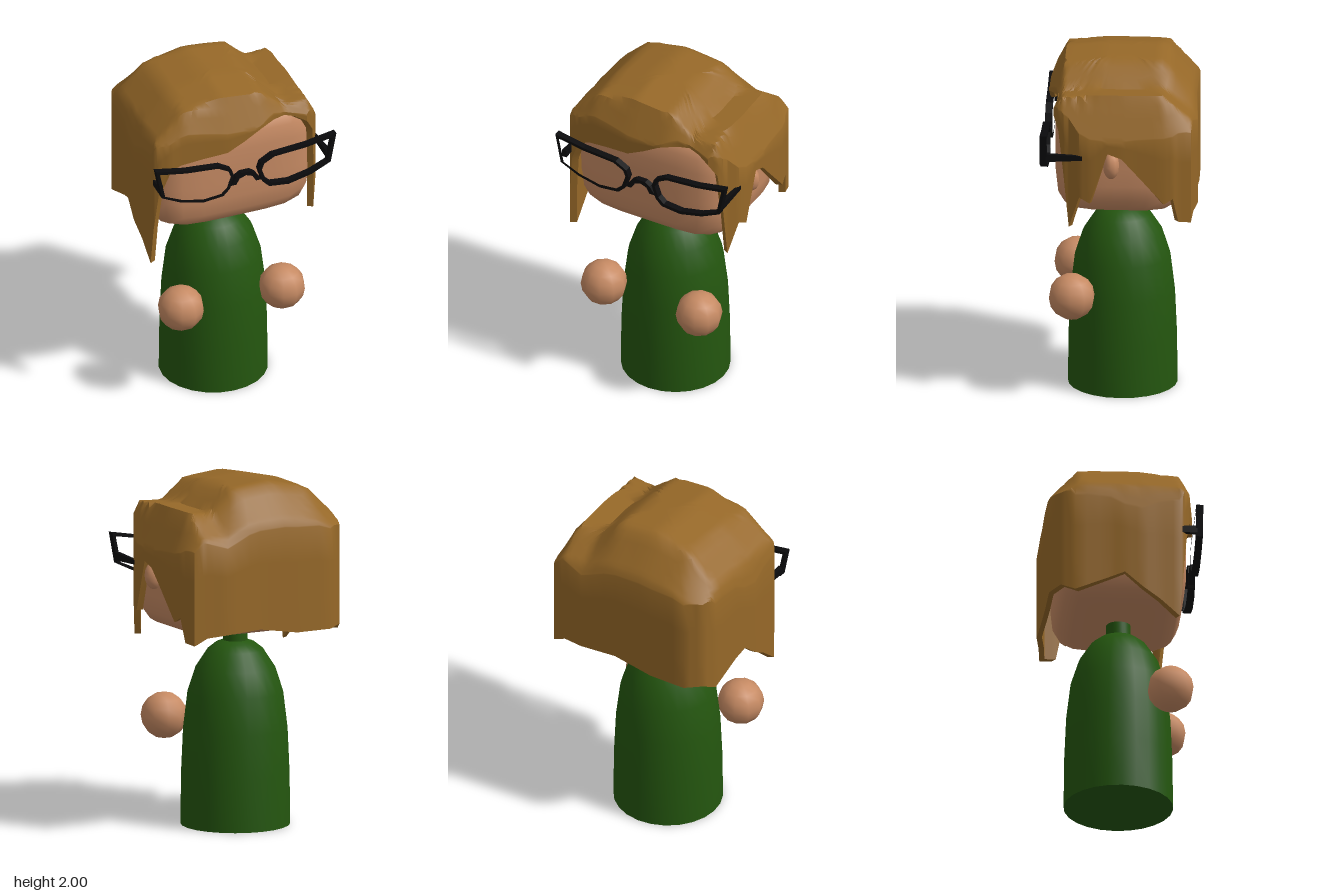
import * as THREE from 'three';
import { mergeVertices, toCreasedNormals } from 'three/addons/utils/BufferGeometryUtils.js';

const skin = new THREE.MeshStandardMaterial({ color: 0xc68a63 });
const green = new THREE.MeshStandardMaterial({ color: 0x24560f, side: THREE.DoubleSide });
const black = new THREE.MeshStandardMaterial({ color: 0x0b0b0d });
const brown = new THREE.MeshStandardMaterial({ color: 0x966828, side: THREE.DoubleSide });

function add(parent, name, geometry, material, x = 0, y = 0, z = 0) {
  const mesh = new THREE.Mesh(geometry, material);
  mesh.name = name;
  mesh.position.set(x, y, z);
  parent.add(mesh);
  return mesh;
}

// Piecewise linear curve through [position, value] pairs
function curve(points, p) {
  if (p <= points[0][0]) return points[0][1];
  for (let i = 1; i < points.length; i++) {
    const [a, va] = points[i - 1], [b, vb] = points[i];
    if (p <= b) return va + (vb - va) * (p - a) / (b - a);
  }
  return points[points.length - 1][1];
}

// Cube rounded by a p-norm, then scaled
function headGeometry(hx, hy, hz, p) {
  const box = new THREE.BoxGeometry(2, 2, 2, 7, 7, 7);
  box.deleteAttribute('uv');
  box.deleteAttribute('normal');
  const geo = mergeVertices(box);
  const pos = geo.attributes.position;
  for (let i = 0; i < pos.count; i++) {
    const v = [pos.getX(i), pos.getY(i), pos.getZ(i)];
    const n = v.reduce((s, c) => s + Math.abs(c) ** p, 0) ** (1 / p);
    pos.setXYZ(i, v[0] / n * hx, v[1] / n * hy, v[2] / n * hz);
  }
  geo.computeVertexNormals();
  return geo;
}

// Hair outline seen from above, with the height of the lower edge: [x, z, edgeY]
const hairOutline = [
  // fringe
  [0.1, 0.41, 1.77], [0, 0.41, 1.71], [-0.1, 0.41, 1.66], [-0.25, 0.39, 1.64], [-0.37, 0.375, 1.62], [-0.44, 0.37, 1.59],
  // long right lock and right side
  [-0.495, 0.35, 1.45], [-0.52, 0.33, 1.2], [-0.53, 0.31, 0.97], [-0.535, 0.2, 1.07], [-0.545, 0.1, 1.14],
  [-0.54, 0, 1.23], [-0.53, -0.08, 1.2], [-0.525, -0.28, 1.12], [-0.49, -0.36, 1.16],
  // back
  [-0.4, -0.42, 1.15], [-0.18, -0.425, 1.15], [0.06, -0.425, 1.19], [0.28, -0.44, 1.18], [0.4, -0.42, 1.17], [0.48, -0.41, 1.13],
  // left side, notched over the ear
  [0.5, -0.34, 1.14], [0.515, -0.31, 1.28], [0.525, -0.26, 1.25], [0.53, -0.1, 1.43], [0.535, -0.02, 1.52],
  [0.535, 0.06, 1.55], [0.53, 0.16, 1.25], [0.515, 0.22, 1.28],
  // left lock and parting
  [0.475, 0.28, 1.09], [0.465, 0.31, 1.39], [0.445, 0.34, 1.65], [0.4, 0.37, 1.73], [0.33, 0.355, 1.77], [0.27, 0.35, 1.79], [0.2, 0.365, 1.785],
];
// Crown height across x (with the parting groove) and its fall-off along z
const crownX = [[-0.55, 1.6], [-0.51, 1.78], [-0.34, 1.945], [-0.1, 2], [0.14, 1.975], [0.28, 1.85], [0.42, 1.86], [0.535, 1.62]];
const crownZ = [[-0.44, 0.3], [-0.41, 0.5], [-0.25, 1], [0.1, 1], [0.32, 0.94], [0.41, 0.45]];

function hairGeometry() {
  const SUB = 3, RINGS = 14;
  const columns = [];
  hairOutline.forEach((a, i) => {
    const b = hairOutline[(i + 1) % hairOutline.length];
    for (let k = 0; k < SUB; k++) columns.push(a.map((v, c) => v + (b[c] - v) * k / SUB));
  });
  const crown = (x, z) => 1.6 + (curve(crownX, x) - 1.6) * curve(crownZ, z);
  const rows = [];
  // dome
  for (let k = 0; k <= RINGS; k++) {
    const s = Math.sin(k / RINGS * Math.PI / 2);
    rows.push(([x, z, edge]) => {
      const y = crown(x * s, z * s);
      return [x * s, k === RINGS ? Math.max(y, edge + 0.02) : y, z * s];
    });
  }
  // hanging sides, lower rim and inner face
  const rim = ([x, z, edge]) => Math.max(crown(x, z), edge + 0.02);
  for (const [scale, t] of [[1, 0.33], [1, 0.67], [1, 1], [0.935, 1], [0.935, 0.1]]) {
    rows.push(c => [c[0] * scale, rim(c) + (c[2] - rim(c)) * t, c[1] * scale]);
  }
  const n = columns.length, positions = [], index = [];
  rows.forEach((row, r) => columns.forEach((c, j) => {
    positions.push(...row(c));
    if (r === rows.length - 1) return;
    const a = r * n + j, b = r * n + (j + 1) % n;
    if (r > 0) index.push(a, b, a + n);
    index.push(b, b + n, a + n);
  }));
  const geo = new THREE.BufferGeometry();
  geo.setAttribute('position', new THREE.Float32BufferAttribute(positions, 3));
  geo.setIndex(index);
  return toCreasedNormals(geo, 0.7);
}

// One rim of the glasses, side = +1 or -1
function rimGeometry(side) {
  const outline = [[0.55, 1.655], [0.37, 1.622], [0.16, 1.605], [0.09, 1.565], [0.075, 1.52], [0.1, 1.44],
    [0.14, 1.4], [0.26, 1.387], [0.4, 1.42], [0.515, 1.475]];
  const inner = outline.map(([x, y]) => [0.3 + (x - 0.3) * 0.91, 1.513 + (y - 1.513) * 0.84]);
  const toPoints = list => list.map(([x, y]) => new THREE.Vector2(x * side, y));
  const shape = new THREE.Shape(toPoints(outline));
  shape.holes.push(new THREE.Path(toPoints(inner)));
  return new THREE.ExtrudeGeometry(shape, { depth: 0.04, bevelEnabled: false });
}

export function createModel() {
  const model = new THREE.Group();

  // Bell-shaped body with neck
  const profile = [[0, 0], [0.31, 0], [0.306, 0.3], [0.295, 0.55], [0.27, 0.76], [0.225, 0.9], [0.16, 1.0],
    [0.11, 1.04], [0.07, 1.055], [0.07, 1.2]].map(([r, y]) => new THREE.Vector2(r, y));
  add(model, 'body', toCreasedNormals(new THREE.LatheGeometry(profile, 24), 0.6), green, -0.02);

  // Floating hands
  for (const [name, x] of [['leftHand', 0.287], ['rightHand', -0.33]]) {
    add(model, name, new THREE.SphereGeometry(0.133, 10, 8), skin, x, 0.605, 0.273);
  }

  // Head and ears
  add(model, 'head', headGeometry(0.49, 0.355, 0.37, 5), skin, -0.015, 1.483, 0);
  for (const [name, x] of [['leftEar', 0.485], ['rightEar', -0.475]]) {
    add(model, name, new THREE.SphereGeometry(1, 10, 8), skin, x, 1.465, 0.04).scale.set(0.058, 0.08, 0.047);
  }

  add(model, 'hair', hairGeometry(), brown);

  // Glasses
  const glasses = new THREE.Group();
  glasses.name = 'glasses';
  model.add(glasses);
  for (const [side, label] of [[1, 'left'], [-1, 'right']]) {
    add(glasses, label + 'Rim', rimGeometry(side), black, 0, 0, 0.402);
    // temple arm, tapering towards the ear
    const arm = new THREE.BoxGeometry(0.028, 0.045, 0.32);
    const pos = arm.attributes.position;
    for (let i = 0; i < pos.count; i++) if (pos.getZ(i) < 0) pos.setXY(i, pos.getX(i) * 0.5, pos.getY(i) * 0.35);
    arm.computeVertexNormals();
    add(glasses, label + 'Arm', arm, black, side * 0.51, 1.515, 0.25);
  }
  // arched bridge
  const bridge = new THREE.Shape();
  bridge.moveTo(-0.095, 1.455);
  for (const [x, y] of [[-0.06, 1.455], [-0.04, 1.49], [0, 1.505], [0.04, 1.49], [0.06, 1.455], [0.095, 1.455],
    [0.06, 1.505], [0.03, 1.525], [-0.03, 1.525], [-0.06, 1.505]]) bridge.lineTo(x, y);
  add(glasses, 'bridge', new THREE.ExtrudeGeometry(bridge, { depth: 0.035, bevelEnabled: false }), black, 0, 0, 0.404);

  return model;
}
